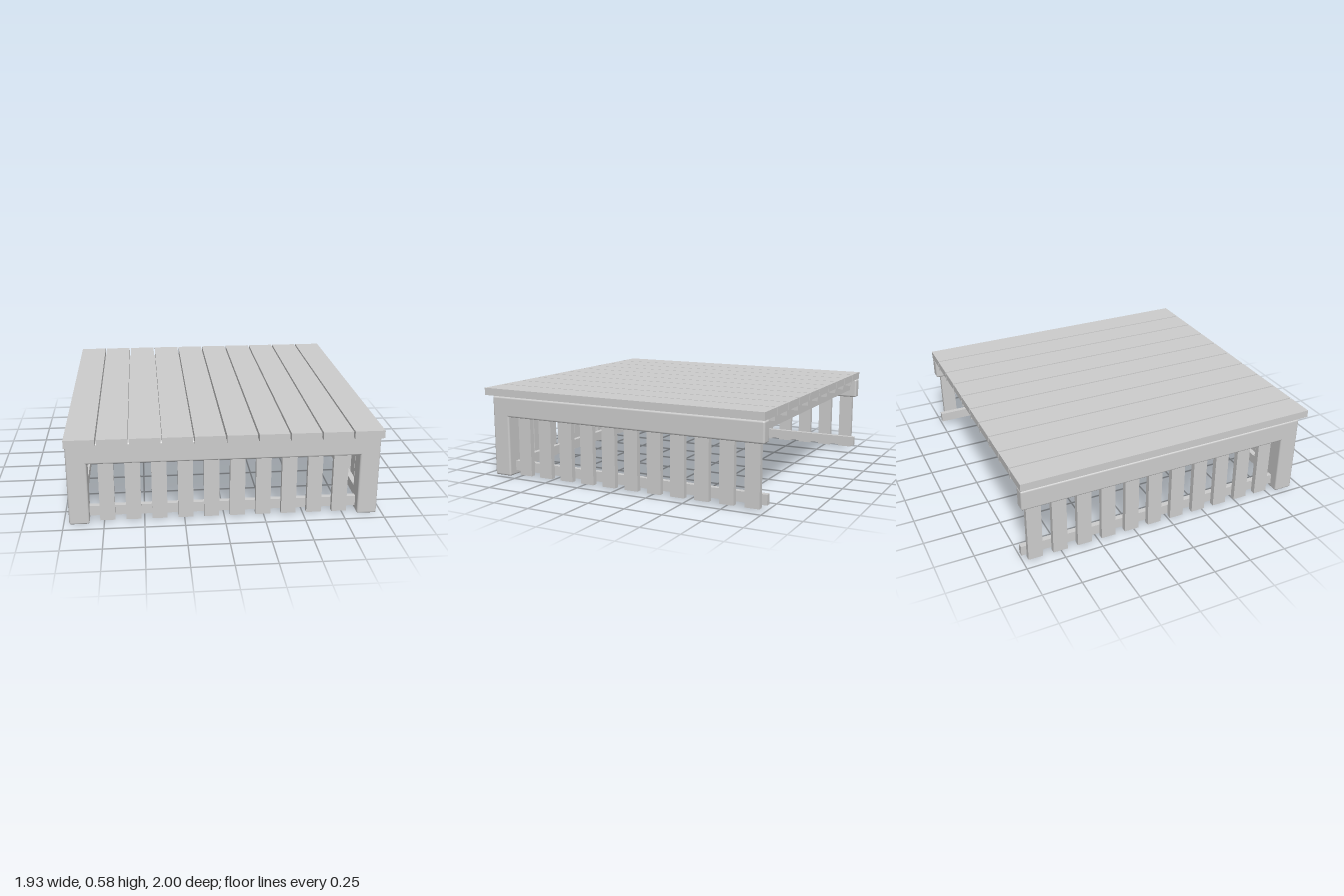
import * as THREE from 'three';
import { RoundedBoxGeometry } from 'three/addons/geometries/RoundedBoxGeometry.js';

export function createModel() {
  const group = new THREE.Group();
  const grey = new THREE.MeshStandardMaterial({ color: 0xcccccc });
  grey.name = 'lightGrey';

  // Box given by its minimum and maximum on each axis, optionally with rounded edges
  function box(name, [x0, x1], [y0, y1], [z0, z1], radius = 0) {
    const size = [x1 - x0, y1 - y0, z1 - z0];
    const geometry = radius
      ? new RoundedBoxGeometry(...size, 2, radius)
      : new THREE.BoxGeometry(...size);
    const mesh = new THREE.Mesh(geometry, grey);
    mesh.name = name;
    mesh.position.set((x0 + x1) / 2, (y0 + y1) / 2, (z0 + z1) / 2);
    group.add(mesh);
  }
  const mirror = ([a, b], side) => (side > 0 ? [a, b] : [-b, -a]);

  // Deck boards running front to back
  const boards = 10, half = 0.965, gap = 0.01;
  const pitch = (2 * half + gap) / boards;
  for (let i = 0; i < boards; i++) {
    const x = -half + i * pitch;
    box('deckBoard', [x, x + pitch - gap], [0.536, 0.585], [-1, 1]);
    // Small joist ends under the rear overhang
    if (i > 0) box('joistEnd', [x, x + 0.012], [0.505, 0.535], [-0.995, -0.955]);
  }

  // Solid layer under the boards
  box('underDeck', [-0.89, 0.89], [0.455, 0.533], [-0.955, 0.89]);

  // Front frame
  box('frontBeam', [-0.965, 0.965], [0.4, 0.534], [0.86, 0.935], 0.012);
  box('frontRail', [-0.84, 0.84], [0.03, 0.095], [0.84, 0.875]);
  for (let i = 0; i < 10; i++) {
    const x = -0.728 + i * 0.1618;
    box('frontSlat', [x - 0.047, x + 0.047], [0.012, 0.42], [0.875, 0.91]);
  }

  // Posts and side frames
  for (const side of [1, -1]) {
    box('frontPost', mirror([0.84, 0.965], side), [0, 0.534], [0.81, 0.935], 0.012);
    box('sideBeam', mirror([0.89, 0.965], side), [0.4, 0.534], [-1, 0.935], 0.012);
    box('sideRail', mirror([0.87, 0.905], side), [0.03, 0.095], [-1, 0.82]);
    for (let i = 0; i < 11; i++) {
      const z = 0.7 - i * 0.162;
      box('sideSlat', mirror([0.905, 0.94], side), [0.012, 0.42], [z - 0.047, z + 0.047]);
    }
  }
  return group;
}
